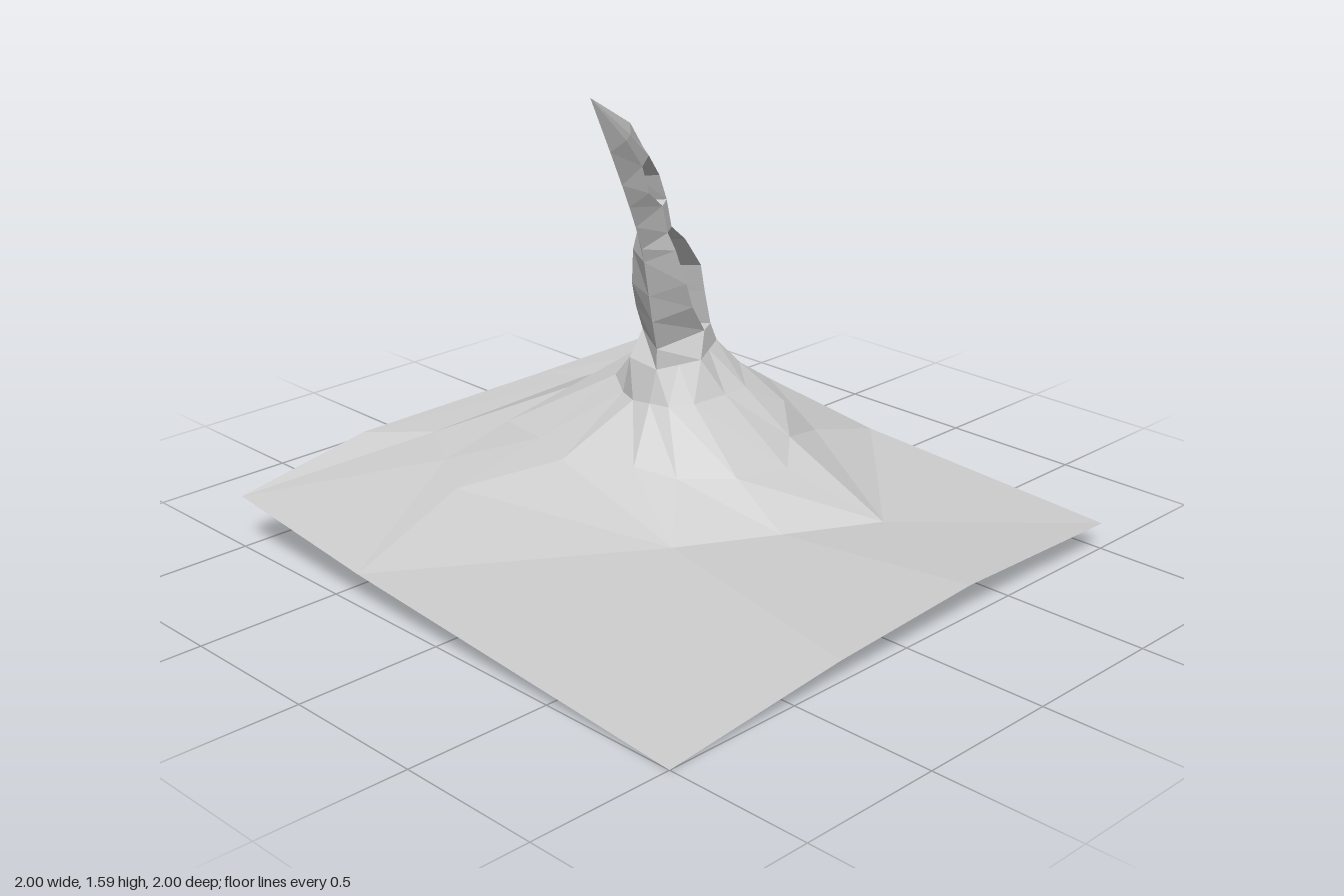
import * as THREE from 'three';

const V = (x, y, z) => new THREE.Vector3(x, y, z);
const material = new THREE.MeshStandardMaterial({ color: 0xcccccc, flatShading: true, side: THREE.DoubleSide });

// Collects quads and turns them into one faceted mesh, dropping empty triangles
function quadMesh(name, fill) {
  const pos = [];
  const tri = (...corners) => {
    if (new THREE.Triangle(...corners).getArea() < 1e-7) return;
    for (const p of corners) pos.push(p.x, p.y, p.z);
  };
  fill((a, b, c, d) => {
    tri(a, b, c);
    tri(a, c, d);
  });
  const geo = new THREE.BufferGeometry();
  geo.setAttribute('position', new THREE.Float32BufferAttribute(pos, 3));
  geo.computeVertexNormals();
  const mesh = new THREE.Mesh(geo, material);
  mesh.name = name;
  return mesh;
}

// Joins two loops with equal point counts
function joinLoops(quad, a, b, skip = []) {
  a.forEach((p, k) => {
    const j = (k + 1) % a.length;
    if (!skip.includes(k)) quad(p, b[k], b[j], a[j]);
  });
}

// Mound loops, twelve spokes each: plot border, foot, shoulder, neck.
// Repeated points make several spokes meet in one corner.
const moundLoops = [
  [[1, .14, 0], [1, .09, 1], [.3, .105, 1], [-.3, .07, 1], [-1, 0, 1], [-1, .11, -.38],
    [-1, .11, -.38], [-1, .18, -1], [-.5, .265, -1], [.3, .27, -1], [1, .28, -1], [1, .20, -.5]],
  [[.7, .22, 0], [.48, .10, .5], [.48, .10, .5], [.16, .105, .34], [-.17, .11, .17], [-.17, .11, .17],
    [-.5, .21, -.5], [-.4, .23, -.68], [-.3, .25, -.86], [.4, .26, -.88], [.84, .27, -.84], [.78, .27, -.34]],
  [[.58, .35, -.04], [.48, .28, .08], [.36, .23, .18], [.16, .24, .14], [0, .25, .02], [-.06, .27, -.12],
    [-.17, .26, -.35], [-.12, .275, -.52], [-.09, .27, -.72], [.38, .33, -.7], [.6, .35, -.56], [.63, .38, -.3]],
  [[.5, .48, -.18], [.43, .43, -.08], [.33, .43, -.08], [.19, .43, -.09], [.11, .43, -.13], [.09, .43, -.2],
    [.09, .42, -.28], [.12, .42, -.36], [.18, .44, -.46], [.34, .47, -.53], [.46, .47, -.45], [.54, .46, -.32]],
].map(loop => loop.map(p => V(...p)));

// Spire sections: left x, y, right x, y, opening start, end, half thickness
const sections = [
  [.125, .54, .455, .57, .25, .72, .12],
  [.13, .61, .41, .635, .55, .76, .105],
  [.09, .72, .36, .76, .40, .83, .095],
  [.06, .82, .33, .86, .34, .85, .09],
  [.02, .95, .235, .98, .42, .82, .07],
  [0, 1.0, .17, 1.05, .55, .75, .05],
  [-.05, 1.09, .13, 1.15, .62, .82, .045],
  [-.10, 1.17, .085, 1.24, .38, .87, .035],
  [-.16, 1.26, .02, 1.33, .50, .80, .03],
  [-.25, 1.39, -.09, 1.44, .40, .60, .025],
];
const spirePlaneZ = x => -.14 - .5 * x;

// Six-sided section: right, front right, front left, left, back left, back right
function hexSection([lx, ly, rx, ry, u0, u1, b]) {
  const at = (u, side) => {
    const x = lx + (rx - lx) * u;
    return V(x + .63 * b * side, ly + (ry - ly) * u, spirePlaneZ(x) + .78 * b * side);
  };
  return [at(1, 0), at(u1, 1), at(u0, 1), at(0, 0), at(u0, -1), at(u1 - .06, -1)];
}

export function createModel() {
  const group = new THREE.Group();
  group.name = 'mound with pierced spire';
  const rows = sections.map(hexSection);

  // Ground and mound, ending in the spire's lowest section doubled to twelve points
  const foot = rows[0].flatMap((p, k) => [p, p.clone().lerp(rows[0][(k + 1) % 6], .5)]);
  const top = foot.map((_, k) => foot[(k + 1) % 12]);
  group.add(quadMesh('mound', quad => {
    const loops = [...moundLoops, top];
    for (let i = 0; i < loops.length - 1; i++) joinLoops(quad, loops[i], loops[i + 1]);
  }));

  // Leaning spire with two openings
  group.add(quadMesh('spire', quad => {
    const openings = [[1, 5], [6, 8]];
    for (let i = 0; i < rows.length - 1; i++) {
      const a = rows[i], b = rows[i + 1];
      const open = openings.some(([s, e]) => i >= s && i < e);
      joinLoops(quad, a, b, open ? [1, 4] : []);
      if (open) {
        quad(a[4], b[4], b[2], a[2]);
        quad(a[1], b[1], b[5], a[5]);
      }
    }
    // Sill and lintel of each opening
    for (const [s, e] of openings) {
      const a = rows[s], b = rows[e];
      quad(a[1], a[5], a[4], a[2]);
      quad(b[1], b[2], b[4], b[5]);
    }
    // Pointed tip
    const last = rows[rows.length - 1];
    const tip = V(-.38, 1.59, .04);
    joinLoops(quad, last, last.map(() => tip));
  }));
  return group;
}
